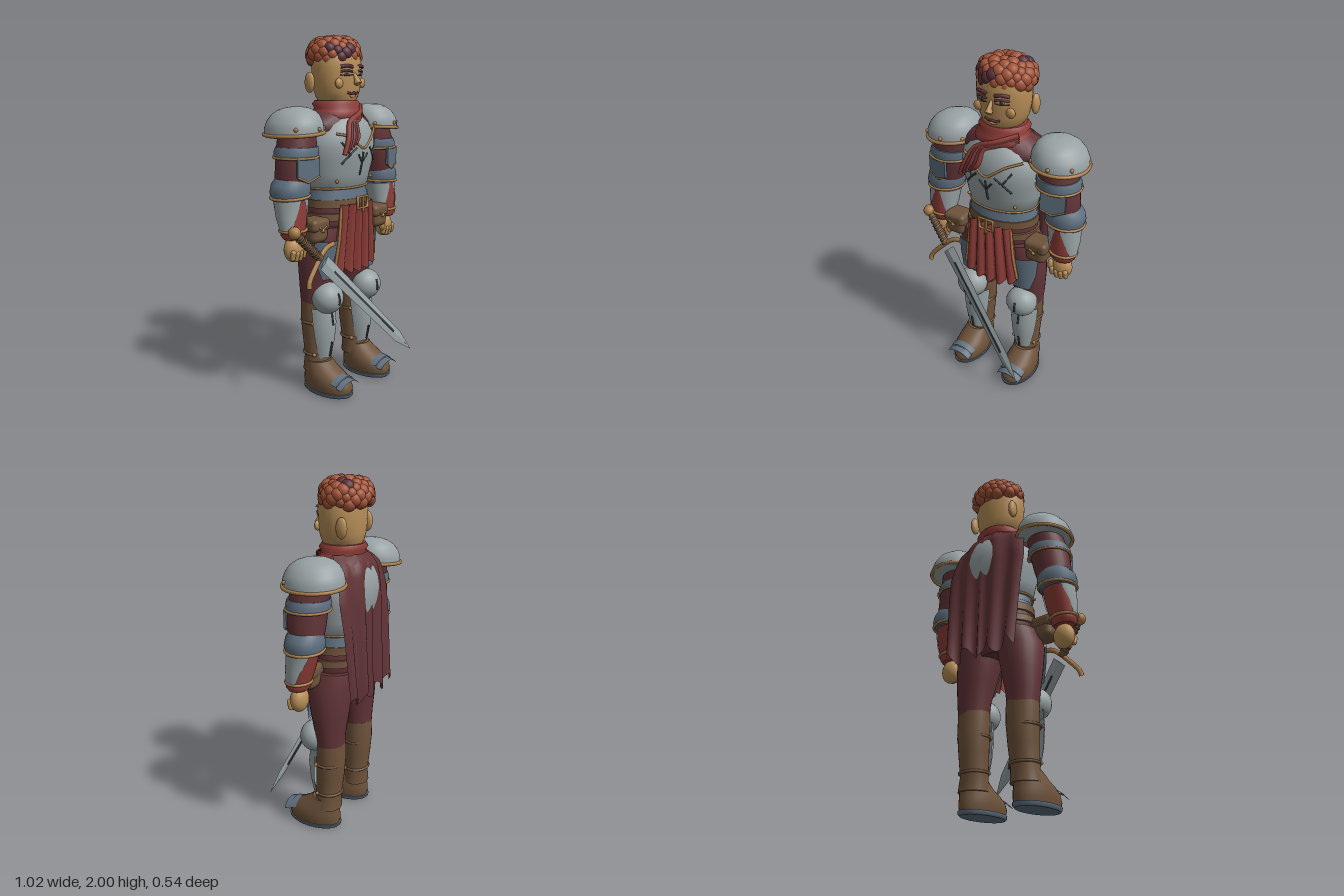
import * as THREE from 'three';
import { RoundedBoxGeometry } from 'three/addons/geometries/RoundedBoxGeometry.js';

const PI = Math.PI;
const mat = (name, color, side = THREE.FrontSide) => {
  const m = new THREE.MeshStandardMaterial({ color, side });
  m.name = name;
  return m;
};
const D = THREE.DoubleSide;
const M = {
  steel: mat('pale steel', 0x98a2a4, D), blue: mat('blue steel', 0x5f7080, D),
  dark: mat('dark iron', 0x33393f), brass: mat('brass', 0xa87c48),
  skin: mat('skin', 0xb88f58), leather: mat('leather', 0x6e533b),
  red: mat('red cloth', 0x8f3d38, D), maroon: mat('maroon cloth', 0x623437, D),
  hair: mat('rust hair', 0xa35438), shade: mat('dark hair', 0x5a3038),
};

// Surface through rings [x, y, z, rx, rz, startAngle, endAngle], listed upward; angle 0 faces +z
function loft(rings, n = 28, a0 = -PI, a1 = PI) {
  const closed = a1 - a0 > 6.28;
  if (closed) {
    const f = rings[0], l = rings[rings.length - 1];
    rings = [[f[0], f[1], f[2], 0, 0], f, ...rings, l, [l[0], l[1], l[2], 0, 0]];
  }
  const pos = [], idx = [], w = closed ? n : n + 1;
  rings.forEach(([x, y, z, rx, rz, s = a0, e = a1], i) => {
    for (let j = 0; j < w; j++) {
      const a = s + (e - s) * j / n;
      pos.push(x + rx * Math.sin(a), y, z + rz * Math.cos(a));
      if (i && j < n) {
        const k = (j + 1) % w, p = (i - 1) * w, q = i * w;
        idx.push(p + j, p + k, q + k, p + j, q + k, q + j);
      }
    }
  });
  const g = new THREE.BufferGeometry();
  g.setAttribute('position', new THREE.Float32BufferAttribute(pos, 3));
  g.setIndex(idx);
  g.computeVertexNormals();
  return g;
}
function flat(g) {
  const f = g.toNonIndexed();
  f.computeVertexNormals();
  return f;
}
const V = p => new THREE.Vector3(...p);
const tube = (pts, r, n = 16) => new THREE.TubeGeometry(new THREE.CatmullRomCurve3(pts.map(V)), n, r, 8);
// Piecewise linear lookup in [[key, value], ...]
function ramp(t, k) {
  for (let i = 1; i < k.length; i++) {
    if (t <= k[i][0]) return k[i - 1][1] + (k[i][1] - k[i - 1][1]) * (t - k[i - 1][0]) / (k[i][0] - k[i - 1][0]);
  }
  return k[k.length - 1][1];
}

export function createModel() {
  const root = new THREE.Group();
  root.name = 'armouredFigure';
  const add = (name, geo, m, p = [0, 0, 0], parent = root) => {
    const o = new THREE.Mesh(geo, m);
    o.name = name;
    o.position.set(...p);
    parent.add(o);
    return o;
  };
  const ball = (name, m, p, r, parent) => {
    const o = add(name, new THREE.SphereGeometry(1, 20, 14), m, p, parent);
    o.scale.set(...(Array.isArray(r) ? r : [r, r, r]));
    return o;
  };
  const ring = (name, m, p, rx, rz, t = 0.01) => {
    const pts = [];
    for (let i = 0; i < 24; i++) pts.push(V([rx * Math.sin(i * PI / 12), 0, rz * Math.cos(i * PI / 12)]));
    return add(name, new THREE.TubeGeometry(new THREE.CatmullRomCurve3(pts, true), 40, t, 8, true), m, p);
  };

  // Head and face
  const hz = -0.055;
  add('head', loft([[0, 1.6, hz, 0.08, 0.08], [0, 1.63, hz, 0.095, 0.1], [0, 1.66, hz, 0.12, 0.114], [0, 1.7, hz, 0.139, 0.122],
    [0, 1.76, hz, 0.151, 0.126], [0, 1.82, hz, 0.155, 0.127], [0, 1.88, hz, 0.15, 0.122], [0, 1.93, hz, 0.12, 0.1]]), M.skin);
  const face = x => hz + 0.126 * Math.sqrt(1 - (x / 0.155) ** 2);
  const nose = add('nose', new THREE.ConeGeometry(0.02, 0.095, 10), M.skin, [0, 1.778, 0.076]);
  nose.rotation.x = -0.5;
  ball('noseTip', M.skin, [0, 1.742, 0.088], 0.018);
  add('mouth', tube([[-0.045, 1.69, 0.055], [-0.02, 1.682, 0.064], [0, 1.686, 0.067], [0.02, 1.682, 0.064], [0.045, 1.69, 0.055]], 0.007), M.shade);
  ball('lowerLip', M.skin, [0, 1.668, 0.058], [0.025, 0.008, 0.009]);
  for (const s of [-1, 1]) {
    const strip = (name, m, y, r, bend) => add(name, tube([0.022, 0.056, 0.096].map((x, i) =>
      [s * x, y + (i === 1 ? bend : 0), face(x) + 0.004]), r), m);
    strip('eyebrow', M.shade, 1.824, 0.01, 0.006);
    strip('eyelid', M.shade, 1.799, 0.006, 0.006);
    strip('lowerLid', M.shade, 1.783, 0.003, -0.004);
    ball('eye', M.steel, [s * 0.056, 1.791, face(0.056)], [0.018, 0.007, 0.005]);
    ball('iris', M.dark, [s * 0.056, 1.791, face(0.056) + 0.004], [0.009, 0.008, 0.004]);
    ball('cheek', M.skin, [s * 0.098, 1.738, face(0.098)], [0.027, 0.027, 0.016]);
    ball('ear', M.skin, [s * 0.147, 1.742, -0.125], [0.02, 0.056, 0.032]);
  }

  // Curled hair
  ball('hairBase', M.hair, [0.003, 1.885, -0.077], [0.15, 0.09, 0.128]);
  for (let i = 0; i < 70; i++) {
    const h = 1 - 1.36 * (i + 0.5) / 70, a = i * 2.39996, r = Math.pow(1 - h * h, 0.36);
    const x = 0.003 + 0.136 * r * Math.sin(a), z = -0.077 + 0.114 * r * Math.cos(a);
    const size = 0.031 + 0.009 * Math.abs(Math.sin(i * 1.7));
    ball('curl', [6, 14, 31, 34, 39, 47, 60].includes(i) ? M.shade : M.hair, [x, 1.89 + (h > 0 ? 0.073 : 0.085) * h, z], size);
  }

  // Torso armour
  const tz = -0.055;
  add('cuirass', loft([[0.16, 1.165, 0.12], [0.205, 1.17, 0.148], [0.222, 1.25, 0.164], [0.24, 1.33, 0.184], [0.247, 1.4, 0.192],
    [0.235, 1.46, 0.184], [0.19, 1.52, 0.168], [0.12, 1.57, 0.13]].map(([r, y, rz]) => [0, y, tz, r, rz]), 40), M.steel);
  add('mantle', loft([[0, 1.44, -0.07, 0.22, 0.12], [0, 1.49, -0.07, 0.265, 0.15], [0, 1.53, -0.07, 0.235, 0.148], [0, 1.57, -0.065, 0.18, 0.135],
    [0, 1.6, -0.06, 0.13, 0.11]]), M.maroon);
  [[1.1, 0.2, M.maroon], [1.125, 0.206, M.blue], [1.15, 0.202, M.blue]].forEach(([y, r, m]) =>
    add('waistLame', loft([[0, y - 0.02, tz, r, r * 0.74], [0, y + 0.025, tz, r - 0.01, r * 0.7]]), m));
  ring('cuirassHem', M.brass, [0, 1.172, tz], 0.206, 0.15, 0.006);
  const front = (x, y) => tz + Math.sqrt(1 - (x / 0.245) ** 2) * ramp(y, [[1.17, 0.148], [1.25, 0.164], [1.33, 0.184], [1.4, 0.192], [1.46, 0.187]]);
  const onChest = pts => pts.map(([x, y]) => [x, y, front(x, y)]);
  add('necklineTrim', tube(onChest([[-0.17, 1.475], [-0.11, 1.46], [-0.06, 1.425], [0, 1.39], [0.06, 1.425], [0.11, 1.46], [0.19, 1.49]]), 0.007, 30), M.brass);
  add('centreRidge', tube(onChest([[0, 1.37], [0, 1.3], [0, 1.24]]), 0.006), M.dark);
  for (const s of [-1, 1]) {
    [[[0.145, 1.43], [0.095, 1.36]], [[0.095, 1.36], [0.14, 1.31]], [[0.095, 1.36], [0.055, 1.395]], [[0.04, 1.36], [0.005, 1.315]]]
      .forEach(seg => add('chestRidge', tube(onChest(seg.map(([x, y]) => [s * x, y])), 0.0055, 4), M.dark));
    ball('chestStud', M.brass, [s * 0.15, 1.215, front(0.15, 1.215)], 0.01);
  }

  // Scarf
  add('scarf', loft([[0, 1.53, -0.045, 0.13, 0.11], [0, 1.555, -0.045, 0.165, 0.13], [0, 1.59, -0.05, 0.15, 0.128], [0, 1.605, -0.055, 0.135, 0.12],
    [0, 1.625, -0.06, 0.145, 0.128], [0, 1.645, -0.06, 0.125, 0.115]]), M.red);
  for (let i = 0; i < 5; i++) {
    add('scarfTail', tube([[0.13, 1.61 - 0.01 * i, 0.01], [0.03, 1.575 - 0.009 * i, 0.08], [-0.08 + 0.014 * i, 1.53, 0.1],
      [-0.125 + 0.02 * i, 1.45, 0.13], [-0.16 + 0.022 * i, 1.365 + 0.014 * i, 0.132]], 0.014), i % 2 ? M.maroon : M.red);
  }

  // Cape with deepening folds and a ragged hem
  const cape = new THREE.PlaneGeometry(2, 1, 48, 30), cp = cape.attributes.position;
  for (let i = 0; i < cp.count; i++) {
    const u = cp.getX(i), v = 0.5 - cp.getY(i);
    const half = ramp(v, [[0, 0.16], [0.12, 0.25], [0.3, 0.275], [1, 0.24]]);
    const back = ramp(v, [[0, -0.17], [0.08, -0.223], [0.22, -0.232], [0.42, -0.237], [1, -0.25]]);
    const y = 1.6 - 0.78 * v - v * v * 0.035 * Math.sin(u * 11 + 1);
    cp.setXYZ(i, u * half, y, back + (0.004 + 0.016 * v) * Math.cos(13 * (Math.abs(u) - 0.14)) + u * u * ramp(v, [[0, 0.09], [0.25, 0.05], [0.5, 0.03], [1, 0.01]]));
  }
  cape.computeVertexNormals();
  add('cape', cape, M.maroon);

  // Hips, belts, tabard
  add('hips', loft([[0, 0.84, tz, 0.13, 0.1], [0, 0.92, tz, 0.2, 0.135], [0, 1.0, tz, 0.215, 0.145], [0, 1.1, tz, 0.195, 0.145]]), M.maroon);
  add('belt', loft([[0, 1.065, tz, 0.215, 0.16], [0, 1.11, tz, 0.212, 0.156]]), M.leather);
  add('hipBelt', loft([[0, 0.995, tz, 0.227, 0.16], [0, 1.035, tz, 0.222, 0.16]]), M.leather);
  const tabard = new THREE.PlaneGeometry(2, 1, 40, 6), tp = tabard.attributes.position;
  for (let i = 0; i < tp.count; i++) {
    const u = tp.getX(i), v = 0.5 - tp.getY(i), fold = Math.abs(Math.sin(u * 2.5 * PI + PI / 2));
    tp.setXYZ(i, u * (0.135 + 0.045 * v), 1.085 - v * (0.375 - 0.045 * u * u + 0.025 * fold), 0.1 - 0.012 * v + 0.03 * fold - 0.02 * u * u);
  }
  tabard.computeVertexNormals();
  add('tabard', tabard, M.red);
  for (const s of [-1, 1]) add('tabardTrim', tube([[s * 0.132, 1.07, 0.085], [s * 0.152, 0.9, 0.088], [s * 0.175, 0.755, 0.08]], 0.009), M.brass);
  const buckle = new THREE.TorusGeometry(0.05, 0.009, 8, 4).rotateZ(PI / 4);
  add('buckle', buckle, M.brass, [0, 1.09, 0.13]).scale.set(1.25, 0.9, 1);
  add('buckleTongue', new THREE.BoxGeometry(0.014, 0.09, 0.014), M.brass, [0, 1.08, 0.132]);

  // Limbs and everything paired
  for (const s of [-1, 1]) {
    const X = rings => rings.map(([x, ...r]) => [s * x, ...r]);
    add('pouch', new RoundedBoxGeometry(0.125, 0.125, 0.12, 4, 0.035), M.leather, [s * 0.272, 0.955, 0.008]);
    add('pouchFlap', new RoundedBoxGeometry(0.14, 0.07, 0.13, 4, 0.025), M.leather, [s * 0.272, 0.992, 0.008]);
    ball('pouchButton', M.brass, [s * 0.272, 0.965, 0.072], 0.012);
    for (const k of [-1, 1]) add('pouchTrim', tube([[s * 0.272, 0.967, 0.072], [s * 0.272 + k * 0.03, 0.985, 0.073]], 0.005, 3), M.brass);

    // Legs
    add('leg', loft(X([[0.17, 0.48, -0.075, 0.085, 0.078], [0.17, 0.6, -0.073, 0.097, 0.085], [0.16, 0.72, -0.065, 0.115, 0.108],
      [0.145, 0.86, -0.055, 0.13, 0.132], [0.125, 0.96, -0.055, 0.112, 0.13]])), M.maroon);
    add('thighPlate', loft(X([[0.17, 0.67, -0.06, 0.113, 0.112, -0.6, 0.6], [0.16, 0.76, -0.06, 0.125, 0.128, -0.95, 0.95],
      [0.148, 0.89, -0.055, 0.138, 0.14, -1.1, 1.1]]), 20, 0, 1), M.blue);
    ball('kneeGuard', M.steel, [s * 0.176, 0.555, 0.022], [0.094, 0.09, 0.087]);
    add('kneeRidge', tube([[s * 0.176, 0.595, 0.1], [s * 0.176, 0.555, 0.109], [s * 0.176, 0.53, 0.106]], 0.006), M.dark);
    add('greave', loft(X([[0.172, 0.2, -0.055, 0.062, 0.084, -0.95, 0.95], [0.172, 0.3, -0.06, 0.084, 0.108, -1.1, 1.1], [0.172, 0.4, -0.06, 0.093, 0.118, -1.2, 1.2],
      [0.172, 0.5, -0.06, 0.093, 0.105, -1.25, 1.25]]), 20, 0, 1), M.steel);
    [[0.47, 0.048, 0.4, 0.058], [0.3, 0.05, 0.21, 0.032]].forEach(([y0, z0, y1, z1]) =>
      add('greaveRidge', tube([[s * 0.172, y0, z0], [s * 0.172, y1, z1]], 0.006, 3), M.dark));
    add('boot', loft(X([[0.175, 0.12, -0.06, 0.086, 0.078], [0.17, 0.2, -0.06, 0.077, 0.074], [0.168, 0.32, -0.07, 0.084, 0.08],
      [0.168, 0.43, -0.075, 0.092, 0.084], [0.168, 0.545, -0.075, 0.092, 0.08]])), M.leather);
    for (const y of [0.22, 0.41]) {
      const r = y < 0.3 ? 0.079 : 0.09;
      ring('bootStrap', M.leather, [s * 0.17, y, -0.066], r, r - 0.007, 0.008);
      for (const k of [-1, 1]) ball('bootStud', M.brass, [s * 0.17 + k * r * 0.92, y, -0.025], 0.011);
    }
    add('foot', loft(X([[0.18, 0.018, 0.025, 0.09, 0.156], [0.18, 0.05, 0.027, 0.097, 0.164], [0.18, 0.085, 0.02, 0.096, 0.154], [0.18, 0.115, 0.002, 0.09, 0.132],
      [0.18, 0.145, -0.025, 0.08, 0.105], [0.178, 0.18, -0.05, 0.074, 0.082]])), M.leather);
    add('sole', loft(X([[0.18, 0, 0.025, 0.088, 0.155], [0.18, 0.01, 0.025, 0.097, 0.165], [0.18, 0.024, 0.025, 0.098, 0.167]])), M.blue);
    for (const k of [0, 1]) {
      const toe = new THREE.CylinderGeometry(0.1, 0.1, 0.04, 14, 1, true, -0.9, 1.8).rotateX(-PI / 2);
      const t = add('toePlate', toe, M.blue, [s * 0.185, 0.01 + 0.014 * k, 0.158 - 0.038 * k]);
      t.rotation.x = 0.2;
    }

    // Arms
    add('upperArm', loft(X([[0.385, 1.17, -0.05, 0.088, 0.085], [0.365, 1.28, -0.045, 0.105, 0.1], [0.345, 1.4, -0.045, 0.112, 0.105], [0.32, 1.52, -0.06, 0.1, 0.1]])), M.maroon);
    add('pauldron', loft(X([[0.334, 1.475, -0.07, 0.152, 0.162], [0.333, 1.51, -0.07, 0.152, 0.163], [0.328, 1.545, -0.07, 0.142, 0.153], [0.322, 1.58, -0.07, 0.12, 0.13],
      [0.316, 1.602, -0.07, 0.092, 0.098], [0.312, 1.614, -0.07, 0.06, 0.062], [0.31, 1.619, -0.07, 0.025, 0.025]]), 36), M.steel);
    ring('pauldronRim', M.brass, [s * 0.334, 1.482, -0.07], 0.154, 0.164, 0.01).rotation.z = -s * 0.06;
    for (const a of [-0.8, 0.1, 0.9]) ball('pauldronStud', M.brass, [s * 0.334 + 0.152 * Math.sin(a), 1.508, -0.07 + 0.163 * Math.cos(a)], 0.011);
    add('armLame', loft(X([[0.348, 1.36, -0.045, 0.122, 0.115], [0.345, 1.39, -0.045, 0.124, 0.117], [0.34, 1.415, -0.045, 0.116, 0.111]])), M.blue);
    ring('armLameTrim', M.brass, [s * 0.348, 1.36, -0.045], 0.122, 0.117, 0.007);
    const chevron = new THREE.Shape([[-0.068, 0.05], [0.068, 0.05], [0.068, -0.045], [0, -0.075], [-0.068, -0.045]].map(p => new THREE.Vector2(...p)));
    const plate = add('armPlate', new THREE.ExtrudeGeometry(chevron, { depth: 0.015, bevelEnabled: false }), M.blue, [s * 0.368, 1.31, 0.052]);
    plate.rotation.y = s * 0.25;
    for (const k of [-1, 1]) add('armPlateTrim', tube([[k * 0.068, -0.045, 0.012], [0, -0.075, 0.012]], 0.006, 3), M.brass, [0, 0, 0], plate);
    add('elbowGuard', loft(X([[0.394, 1.14, -0.048, 0.1, 0.095], [0.394, 1.18, -0.048, 0.113, 0.106], [0.39, 1.22, -0.048, 0.109, 0.1], [0.38, 1.252, -0.048, 0.09, 0.088]])), M.blue);
    ring('elbowTrim', M.brass, [s * 0.394, 1.155, -0.048], 0.107, 0.101, 0.008).rotation.z = -s * 0.06;
    add('forearm', loft(X([[0.408, 0.95, -0.015, 0.068, 0.057], [0.403, 1.05, -0.03, 0.086, 0.074], [0.395, 1.16, -0.045, 0.09, 0.085]])), M.red);
    for (const k of [-1, 1]) {
      const span = (n, f) => (k > 0 ? [n, f] : [-f, -n]);
      add('vambrace', loft([[s * 0.408, 0.985, -0.02, 0.08, 0.069, ...span(0.85, 1.9)], [s * 0.403, 1.05, -0.03, 0.092, 0.08, ...span(0.5, 2.1)],
        [s * 0.395, 1.15, -0.045, 0.097, 0.092, ...span(0.1, 2.5)]], 12, 0, 1), M.steel);
    }
    ring('cuffTrim', M.brass, [s * 0.408, 0.98, -0.018], 0.077, 0.066, 0.008);
    add('cuff', loft(X([[0.408, 0.935, -0.015, 0.06, 0.05], [0.408, 0.955, -0.015, 0.074, 0.064], [0.408, 0.975, -0.016, 0.072, 0.062]])), M.red);
    ball('hand', M.skin, [s * 0.405, 0.875, -0.018], [0.062, 0.07, 0.046]);
    for (let i = 0; i < 4; i++) {
      const f = add('finger', new THREE.CapsuleGeometry(0.015, 0.032, 4, 10), M.skin, [s * (0.362 + 0.028 * i), 0.852 - (i % 3 ? 0.01 : 0), 0.015]);
      f.rotation.x = 0.25;
    }
    ball('thumb', M.skin, [s * 0.35, 0.885, 0.012], [0.018, 0.035, 0.018]);
  }

  // Sword, built pointing down its own -y
  const sword = new THREE.Group();
  sword.name = 'sword';
  const up = new THREE.Vector3(-0.61, 0.655, -0.18).normalize(), across = new THREE.Vector3(0.74, 0.67, -0.06);
  across.addScaledVector(up, -across.dot(up)).normalize();
  sword.quaternion.setFromRotationMatrix(new THREE.Matrix4().makeBasis(across, up, across.clone().cross(up)));
  sword.position.set(-0.315, 0.82, 0.09);
  root.add(sword);
  const O = [0, 0, 0];
  add('blade', flat(loft([[0, -0.913, 0, 0.001, 0.001], [0, -0.78, 0, 0.034, 0.007], [0, -0.035, 0, 0.046, 0.01]], 4)), M.steel, O, sword);
  add('bladeGroove', new THREE.BoxGeometry(0.012, 0.6, 0.021), M.dark, [0, -0.42, 0], sword);
  add('crossguard', tube([[-0.175, -0.03, 0], [-0.15, -0.012, 0], [-0.07, 0, 0], [0.07, 0, 0], [0.125, -0.03, 0]], 0.014), M.brass, O, sword);
  add('grip', new THREE.CylinderGeometry(0.02, 0.022, 0.2, 14), M.leather, [0, 0.1, 0], sword);
  for (let i = 0; i < 7; i++) {
    add('gripWrap', new THREE.TorusGeometry(0.021, 0.006, 6, 16).rotateX(PI / 2 + 0.25), M.leather, [0, 0.035 + 0.024 * i, 0], sword);
  }
  ball('pommel', M.brass, [0, 0.225, 0], 0.034, sword);
  return root;
}
